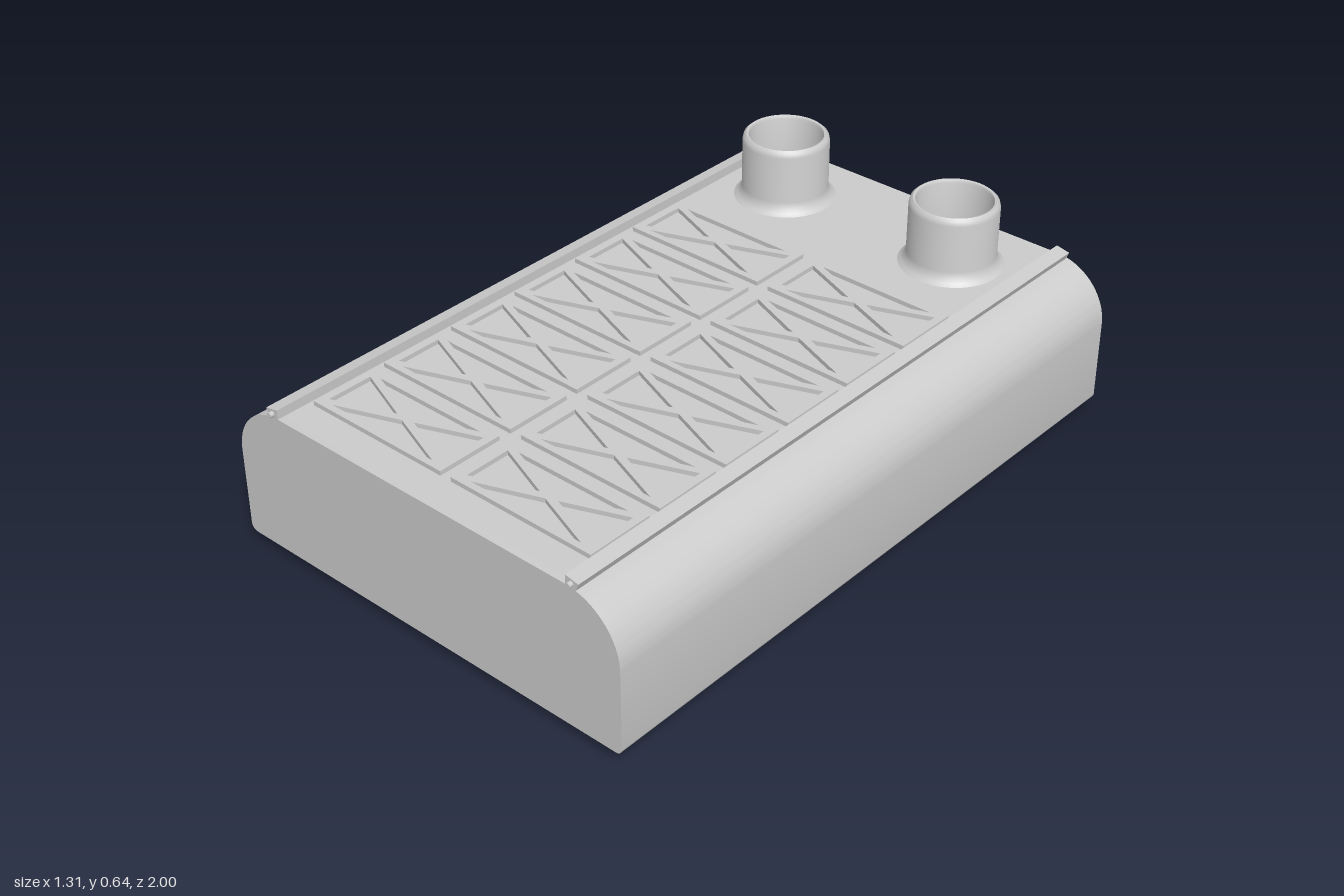
import * as THREE from 'three';
import { toCreasedNormals } from 'three/addons/utils/BufferGeometryUtils.js';

const material = new THREE.MeshStandardMaterial({ color: 0xcccccc });
const BACK = -0.975, FRONT = 0.985, HALF = 0.655, FLOOR = 0.035, TOP = 0.45;
const WALL = 0.02, R = 0.165, PIPE_X = 0.295, PIPE_Z = -0.745;
const WINDOW = { z0: 0.36, z1: 0.76, top: 0.28 };

const polygon = (points) => new THREE.Shape(points.map(([x, y]) => new THREE.Vector2(x, y)));
const rect = (x0, y0, x1, y1) => polygon([[x0, y0], [x1, y0], [x1, y1], [x0, y1]]);

function circle(x, y, r) {
  return new THREE.Path().absarc(x, y, r, 0, Math.PI * 2);
}

function extrude(shape, depth) {
  const geo = new THREE.ExtrudeGeometry(shape, { depth, bevelEnabled: false, curveSegments: 16 });
  return toCreasedNormals(geo, 0.5);
}

export function createModel() {
  const model = new THREE.Group();

  function add(name, geometry, parent = model) {
    const mesh = new THREE.Mesh(geometry, material);
    mesh.name = name;
    parent.add(mesh);
    return mesh;
  }
  // Profile drawn in x-y, running from z0 to z1
  const along = (name, shape, z0, z1) => add(name, extrude(shape, z1 - z0).translate(0, 0, z0));
  // Outline drawn in x and -z, rising from y0 to y1
  const slab = (name, shape, y0, y1) =>
    add(name, extrude(shape, y1 - y0).rotateX(-Math.PI / 2).translate(0, y0, 0));
  const box = (name, w, h, d, x, y, z) => {
    const mesh = add(name, new THREE.BoxGeometry(w, h, d));
    mesh.position.set(x, y, z);
    return mesh;
  };

  // End walls with rounded shoulders
  const end = new THREE.Shape();
  end.moveTo(-HALF + 0.02, FLOOR);
  end.lineTo(HALF - 0.02, FLOOR);
  end.absarc(HALF - 0.02, FLOOR + 0.02, 0.02, -Math.PI / 2, 0);
  end.absarc(HALF - R, TOP - R, R, 0, Math.PI / 2);
  end.absarc(-HALF + R, TOP - R, R, Math.PI / 2, Math.PI);
  end.absarc(-HALF + 0.02, FLOOR + 0.02, 0.02, Math.PI, Math.PI * 1.5);
  along('frontWall', end, FRONT - WALL, FRONT);
  along('backWall', end, BACK, BACK + WALL);

  // Side walls: a curved strip, whole or cut off below y0
  function sideShape(side, y0) {
    const s = new THREE.Shape();
    if (y0 === FLOOR) {
      s.moveTo(HALF - 0.02, FLOOR);
      s.absarc(HALF - 0.02, FLOOR + 0.02, 0.02, -Math.PI / 2, 0);
    } else s.moveTo(HALF, y0);
    s.absarc(HALF - R, TOP - R, R, 0, Math.PI / 2);
    s.absarc(HALF - R, TOP - R, R - WALL, Math.PI / 2, 0, true);
    s.lineTo(HALF - WALL, y0);
    return new THREE.Shape(s.getPoints(16).map((p) => new THREE.Vector2(p.x * side, p.y)));
  }
  along('leftWall', sideShape(1, FLOOR), BACK + WALL, FRONT - WALL);
  along('rightWallRear', sideShape(-1, FLOOR), BACK + WALL, WINDOW.z0);
  along('rightWallAboveOpening', sideShape(-1, WINDOW.top), WINDOW.z0, WINDOW.z1);
  along('rightWallFront', sideShape(-1, FLOOR), WINDOW.z1, FRONT - WALL);
  for (const y of [0.075, 0.12]) {
    box('openingSlat', 0.03, 0.015, WINDOW.z1 - WINDOW.z0, -0.61, y, (WINDOW.z0 + WINDOW.z1) / 2);
  }

  // Roof with pipe holes, floor with outlet hole
  const roof = rect(-HALF + R, -FRONT + WALL, HALF - R, -BACK - WALL);
  for (const s of [-1, 1]) roof.holes.push(circle(s * PIPE_X, -PIPE_Z, 0.105));
  slab('roof', roof, TOP - WALL, TOP);
  const outletHole = rect(-0.225, 0.695, 0.225, 0.855);
  const floor = rect(-HALF + 0.02, -FRONT + WALL, HALF - 0.02, -BACK - WALL);
  floor.holes.push(outletHole);
  slab('floor', floor, FLOOR, FLOOR + WALL);

  // Bottom outlet rim and its perforated grille
  const rim = rect(-0.255, 0.67, 0.255, 0.88);
  rim.holes.push(outletHole);
  slab('outletRim', rim, 0, FLOOR);
  const grille = rect(-0.225, 0.695, 0.225, 0.855);
  for (let i = 0; i < 7; i++) {
    for (const row of [-1, 1]) {
      grille.holes.push(circle((i - 3) * 0.058 + row * 0.012, 0.775 + row * 0.035, 0.02));
    }
  }
  slab('outletGrille', grille, 0.035, 0.045);

  // Flared pipes with rounded lips, and baffles below them
  const pipeProfile = [
    [0.105, 0.43], [0.15, 0.448], [0.138, 0.457], [0.129, 0.468], [0.125, 0.485], [0.125, 0.625],
    [0.122, 0.638], [0.114, 0.645], [0.108, 0.643], [0.105, 0.636], [0.105, 0.43],
  ].map(([x, y]) => new THREE.Vector2(x, y));
  for (const s of [-1, 1]) {
    const pipe = add('pipe', toCreasedNormals(new THREE.LatheGeometry(pipeProfile, 48), 0.7));
    pipe.position.set(s * PIPE_X, 0, PIPE_Z);
    box('baffle', 0.02, 0.3, 0.2, s * 0.23, 0.2, PIPE_Z);
    for (const z of [-0.82, -0.775]) box('baffleBar', 0.2, 0.015, 0.01, s * 0.33, 0.36, z);
    const brace = box('baffleBrace', 0.2, 0.015, 0.015, s * 0.32, 0.3, -0.68);
    brace.rotation.y = s * 0.25;
  }

  // Roof panels: frames with crossed ribs
  const panel = rect(-0.228, -0.099, 0.228, 0.099);
  for (const s of [-1, 1]) {
    panel.holes.push(polygon([[s * 0.205, -0.068], [s * 0.205, 0.068], [s * 0.03, 0]]));
    panel.holes.push(polygon([[-0.18, s * 0.08], [0.18, s * 0.08], [0, s * 0.012]]));
  }
  const panelGeometry = extrude(panel, 0.014).rotateX(-Math.PI / 2);
  for (let row = 0; row < 6; row++) {
    for (const s of [-1, 1]) {
      add('roofPanel', panelGeometry).position.set(s * 0.246, TOP - 0.001, -0.388 + row * 0.2345);
    }
  }

  // Tilted rails along the roof edges, each with a through rod
  const railShape = polygon([[-0.015, -0.017], [0.015, -0.017], [0.021, 0.013], [-0.021, 0.013]]);
  for (const s of [-1, 1]) {
    const rail = new THREE.Group();
    rail.name = 'rail';
    rail.position.set(s * 0.51, 0.46, 0);
    rail.rotation.z = -s * 0.2;
    add('railBar', extrude(railShape, FRONT + 0.968).translate(0, 0, -0.968), rail);
    const rod = new THREE.CylinderGeometry(0.008, 0.008, 0.1, 16).rotateX(Math.PI / 2);
    add('railRod', rod, rail).position.z = 0.947;
    model.add(rail);
  }

  // Back panels split by a diagonal rib
  const backPanel = rect(-0.265, -0.043, 0.265, 0.043);
  backPanel.holes.push(polygon([[-0.24, 0.03], [-0.24, -0.018], [0.19, 0.03]]));
  backPanel.holes.push(polygon([[0.24, -0.03], [0.24, 0.018], [-0.19, -0.03]]));
  const backGeometry = extrude(backPanel, 0.014);
  for (const s of [-1, 1]) add('backPanel', backGeometry).position.set(s * 0.282, 0.316, BACK - 0.013);

  // Raised back pads with sloping edges
  const pad = new THREE.BoxGeometry(0.236, 0.145, 0.026);
  const p = pad.attributes.position;
  for (let i = 0; i < p.count; i++) {
    if (p.getZ(i) < 0) p.setXY(i, p.getX(i) * 0.8, p.getY(i) * 0.56);
  }
  pad.computeVertexNormals();
  for (const x of [-0.41, -0.148, 0.148, 0.41]) {
    add('backPad', pad).position.set(x, 0.158, BACK - 0.012);
  }

  return model;
}
